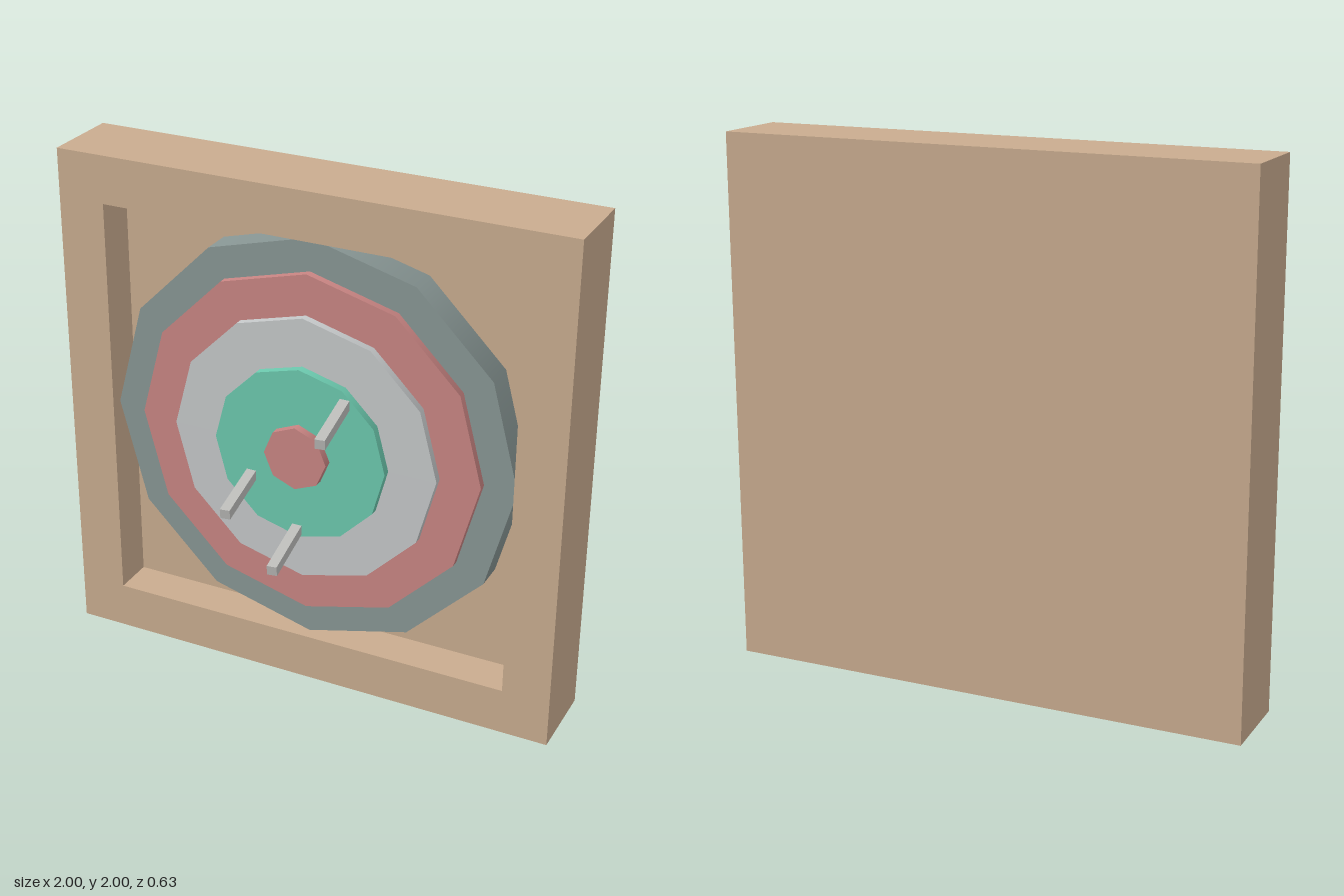
import * as THREE from 'three';

const material = (name, color) => {
  const m = new THREE.MeshStandardMaterial({ color });
  m.name = name;
  return m;
};

export function createModel() {
  const group = new THREE.Group();
  group.name = 'dartboard';

  const wood = material('wood', 0xc9ac8f);
  const slate = material('slate', 0x889694);
  const red = material('red', 0xc98583);
  const pale = material('pale grey', 0xc5c8c9);
  const green = material('green', 0x6cc9ae);
  const steel = material('steel', 0xbdbdba);

  const add = (name, geometry, mat, x, y, z) => {
    const mesh = new THREE.Mesh(geometry, mat);
    mesh.name = name;
    mesh.position.set(x, y, z);
    group.add(mesh);
    return mesh;
  };

  // Shallow cabinet: a square rim in front of a solid back panel
  const back = -0.315, recess = -0.16;
  const square = (Path, h) => new Path([[-h, -h], [h, -h], [h, h], [-h, h]].map(p => new THREE.Vector2(...p)));
  const rim = square(THREE.Shape, 1);
  rim.holes.push(square(THREE.Path, 0.815));
  add('cabinetRim', new THREE.ExtrudeGeometry(rim, { depth: -recess, bevelEnabled: false }), wood, 0, 1, recess);
  add('cabinetBack', new THREE.BoxGeometry(2, 2, recess - back), wood, 0, 1, (recess + back) / 2);

  // Stepped target discs: name, radius, front z, sides, colour
  const discs = [
    ['outerDisc', 0.813, -0.045, 12, slate],
    ['redRing', 0.687, -0.015, 12, red],
    ['paleRing', 0.53, 0.015, 12, pale],
    ['greenRing', 0.343, 0.047, 12, green],
    ['bullseye', 0.125, 0.08, 8, red],
  ];
  for (const [name, radius, front, sides, mat] of discs) {
    const depth = front - recess;
    const geometry = new THREE.CylinderGeometry(radius, radius, depth, sides).rotateX(Math.PI / 2);
    add(name, geometry, mat, 0, 1, front - depth / 2);
  }

  // Three darts stuck in the board, each placed by the centre of its outer end
  const dart = new THREE.BoxGeometry(0.038, 0.038, 0.32).translate(0, 0, -0.16);
  for (const [x, y] of [[0.215, 1.22], [-0.163, 0.847], [0.025, 0.66]]) {
    add('dart', dart, steel, x, y, 0.313).rotation.set(0.1, 0.12, 0);
  }

  return group;
}
